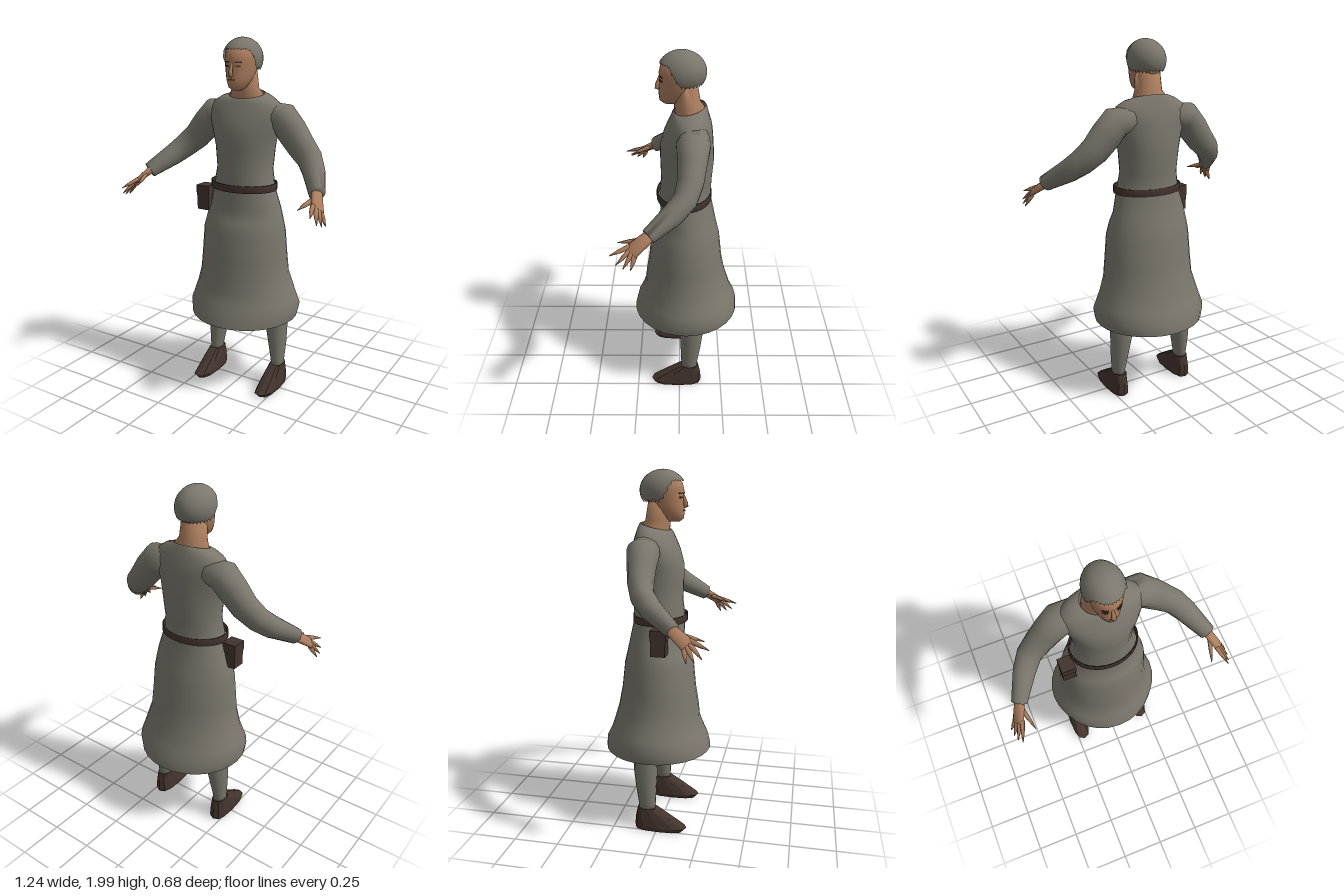
import * as THREE from 'three';
import { mergeVertices } from 'three/addons/utils/BufferGeometryUtils.js';

const V = (x, y, z) => new THREE.Vector3(x, y, z);
const mat = (name, color, side = THREE.FrontSide) => {
  const m = new THREE.MeshStandardMaterial({ color, side });
  m.name = name;
  return m;
};

// Skin stretched over rings {c, u, v}, where u x v points along the loft
function loft(rings, n, caps = true, power = 1) {
  const pos = [], idx = [];
  const bend = t => Math.sign(t) * Math.abs(t) ** power;
  for (const { c, u, v } of rings) {
    for (let j = 0; j < n; j++) {
      const a = (j / n) * Math.PI * 2;
      const p = c.clone().addScaledVector(u, bend(Math.cos(a))).addScaledVector(v, bend(Math.sin(a)));
      pos.push(p.x, p.y, p.z);
    }
  }
  for (let i = 0; i < rings.length - 1; i++) {
    for (let j = 0; j < n; j++) {
      const a = i * n + j, b = i * n + (j + 1) % n;
      idx.push(a, b, a + n, b, b + n, a + n);
    }
  }
  if (caps) {
    const last = (rings.length - 1) * n;
    for (let j = 1; j < n - 1; j++) idx.push(0, j + 1, j, last, last + j, last + j + 1);
  }
  const g = new THREE.BufferGeometry();
  g.setAttribute('position', new THREE.Float32BufferAttribute(pos, 3));
  g.setIndex(idx);
  g.computeVertexNormals();
  return g;
}

// Level ring: height, back z, front z, half width, x centre, rise towards the back
const level = ([y, zb, zf, rx, x = 0, rise = 0]) => ({
  c: V(x, y, (zb + zf) / 2), u: V(rx, 0, 0), v: V(0, rise, (zb - zf) / 2),
});

// Limb through points [x, y, z, radius, second radius]
function limb(points, n, ref = V(0, 0, 1)) {
  const at = i => V(...points[Math.max(0, Math.min(points.length - 1, i))].slice(0, 3));
  return loft(points.map(([, , , r, r2 = r], i) => {
    const t = at(i + 1).sub(at(i - 1)).normalize();
    const u = ref.clone().cross(t).normalize();
    const v = t.clone().cross(u);
    return { c: at(i), u: u.multiplyScalar(r), v: v.multiplyScalar(r2) };
  }), n);
}

export function createModel() {
  const model = new THREE.Group();
  model.name = 'robedFigure';
  const cloth = mat('greyCloth', 0x7b776d, THREE.DoubleSide);
  const leather = mat('darkLeather', 0x43342e);
  const skin = mat('skin', 0xab7d5e);
  const dark = mat('faceDetail', 0x553828);

  const add = (name, geometry, material, parent = model) => {
    const m = new THREE.Mesh(geometry, material);
    m.name = name;
    parent.add(m);
    return m;
  };

  // Long tunic, open at the hem
  add('tunic', loft([
    [0.44, -0.34, 0.265, 0.312], [0.5, -0.335, 0.25, 0.327], [0.56, -0.305, 0.222, 0.308],
    [0.62, -0.285, 0.2, 0.288], [0.7, -0.262, 0.192, 0.263], [0.8, -0.242, 0.175, 0.256],
    [0.95, -0.225, 0.16, 0.245], [1.02, -0.208, 0.135, 0.23], [1.08, -0.195, 0.105, 0.213],
    [1.2, -0.17, 0.112, 0.18], [1.3, -0.175, 0.1, 0.163], [1.42, -0.185, 0.103, 0.174],
    [1.5, -0.18, 0.103, 0.193], [1.57, -0.175, 0.083, 0.215], [1.62, -0.168, 0.06, 0.222],
    [1.66, -0.155, 0.042, 0.2], [1.69, -0.145, 0.032, 0.15, 0, 0.01], [1.702, -0.135, 0.026, 0.104, 0, 0.02],
  ].map(level), 28, false), cloth);

  // Belt standing slightly off the waist
  add('belt', loft([
    [1.186, -0.168, 0.118, 0.186], [1.186, -0.176, 0.126, 0.196], [1.225, -0.176, 0.126, 0.196],
    [1.225, -0.168, 0.118, 0.186], [1.186, -0.168, 0.118, 0.186],
  ].map(level), 28, false), leather);

  // Belt pouch on the right hip
  add('pouch', new THREE.BoxGeometry(0.075, 0.14, 0.08), leather).position.set(-0.227, 1.11, 0.015);
  add('pouchFlap', new THREE.BoxGeometry(0.081, 0.06, 0.086), leather).position.set(-0.227, 1.152, 0.015);

  // Neck and head
  const head = new THREE.Group();
  head.name = 'head';
  model.add(head);
  add('neck', loft([
    [1.65, -0.13, 0.02, 0.1], [1.695, -0.128, 0.025, 0.098, 0, 0.015],
    [1.735, -0.108, 0.03, 0.076], [1.84, -0.09, 0.035, 0.07],
  ].map(level), 16), skin, head);
  add('face', loft([
    [1.728, 0.005, 0.08, 0.022], [1.745, -0.03, 0.102, 0.045], [1.78, -0.07, 0.106, 0.064],
    [1.81, -0.09, 0.104, 0.073], [1.85, -0.1, 0.101, 0.081], [1.89, -0.1, 0.104, 0.084],
    [1.93, -0.1, 0.094, 0.082], [1.96, -0.08, 0.06, 0.06],
  ].map(level), 20), skin, head);
  add('nose', limb([
    [0, 1.87, 0.098, 0.006], [0, 1.825, 0.112, 0.012], [0, 1.811, 0.113, 0.015], [0, 1.804, 0.103, 0.008],
  ], 6), skin, head);
  add('mouth', new THREE.BoxGeometry(0.036, 0.007, 0.008), dark, head).position.set(0, 1.785, 0.102);
  for (const s of [1, -1]) {
    for (const [name, w, h, y] of [['eye', 0.024, 0.009, 1.855], ['brow', 0.034, 0.007, 1.876]]) {
      const plate = add(name, new THREE.BoxGeometry(w, h, 0.008), dark, head);
      plate.position.set(s * 0.034, y, 0.093);
      plate.rotation.y = s * 0.48;
    }
  }

  // Cropped hair: a dome whose edge is high over the brow and low at the nape
  let dome = new THREE.SphereGeometry(1, 32, 12);
  const p = dome.attributes.position;
  for (let i = 0; i < p.count; i++) {
    const row = Math.floor(i / 33) / 12, phi = ((i % 33) / 32) * Math.PI * 2;
    const front = Math.sin(phi);
    const polar = row * THREE.MathUtils.lerp(2.17, 1.15, THREE.MathUtils.smoothstep(front, 0, 0.65));
    const r = Math.sin(polar);
    p.setXYZ(i, -Math.cos(phi) * r * 0.103, 1.89 + 0.11 * Math.cos(polar), -0.012 + front * r * 0.126);
  }
  dome.deleteAttribute('uv');
  dome.deleteAttribute('normal');
  dome = mergeVertices(dome, 1e-5);
  dome.computeVertexNormals();
  add('hair', dome, cloth, head);

  for (const s of [1, -1]) {
    const side = s > 0 ? 'left' : 'right';
    const mirror = pts => pts.map(([x, ...rest]) => [s * x, ...rest]);

    // Sleeve
    add(side + 'Sleeve', limb(mirror([
      [0.13, 1.6, -0.075, 0.065, 0.075], [0.215, 1.585, -0.07, 0.083, 0.088],
      [0.27, 1.52, -0.065, 0.085, 0.076], [0.335, 1.443, -0.055, 0.078, 0.068],
      [0.4, 1.385, -0.03, 0.07, 0.062], [0.45, 1.335, 0.025, 0.062, 0.058],
      [0.53, 1.255, 0.148, 0.045, 0.04],
    ]), 14), cloth);

    // Hand: flat palm, four tapering fingers and a thumb
    const hand = new THREE.Group();
    hand.name = side + 'Hand';
    model.add(hand);
    const ref = V(s * 0.65, -0.5, -0.55);
    add('palm', limb(mirror([
      [0.52, 1.265, 0.13, 0.024, 0.03], [0.545, 1.232, 0.178, 0.018, 0.036],
      [0.573, 1.195, 0.232, 0.012, 0.04],
    ]), 8, ref), skin, hand);
    const fingers = [
      ['indexFinger', [0.55, 1.215, 0.235], [0.583, 1.18, 0.335]],
      ['middleFinger', [0.565, 1.202, 0.235], [0.605, 1.14, 0.305]],
      ['ringFinger', [0.575, 1.192, 0.225], [0.617, 1.125, 0.27]],
      ['littleFinger', [0.582, 1.183, 0.212], [0.62, 1.12, 0.232]],
      ['thumb', [0.53, 1.235, 0.185], [0.497, 1.2, 0.3]],
    ];
    for (const [name, a, b] of fingers) {
      const mid = a.map((t, i) => t * 0.5 + b[i] * 0.5);
      add(name, limb(mirror([[...a, 0.013, 0.015], [...mid, 0.01, 0.012], [...b, 0.002]]), 5, ref), skin, hand);
    }

    // Leg and shoe
    add(side + 'Leg', loft([
      [0.11, -0.105, -0.012, 0.034, s * 0.213], [0.16, -0.107, -0.01, 0.038, s * 0.212],
      [0.27, -0.125, -0.006, 0.053, s * 0.205], [0.36, -0.137, -0.002, 0.062, s * 0.197],
      [0.45, -0.135, 0.0, 0.071, s * 0.192], [0.6, -0.135, 0.02, 0.078, s * 0.175],
      [0.8, -0.135, 0.04, 0.085, s * 0.15],
    ].map(level), 14), cloth);
    const shoe = loft([
      [0.006, -0.128, 0.15, 0.05, s * 0.212], [0.026, -0.13, 0.168, 0.054, s * 0.212],
      [0.08, -0.125, 0.085, 0.047, s * 0.212], [0.135, -0.113, -0.003, 0.038, s * 0.212],
    ].map(level), 12, true, 0.75).toNonIndexed();
    shoe.computeVertexNormals();
    add(side + 'Shoe', shoe, leather);
  }
  return model;
}
